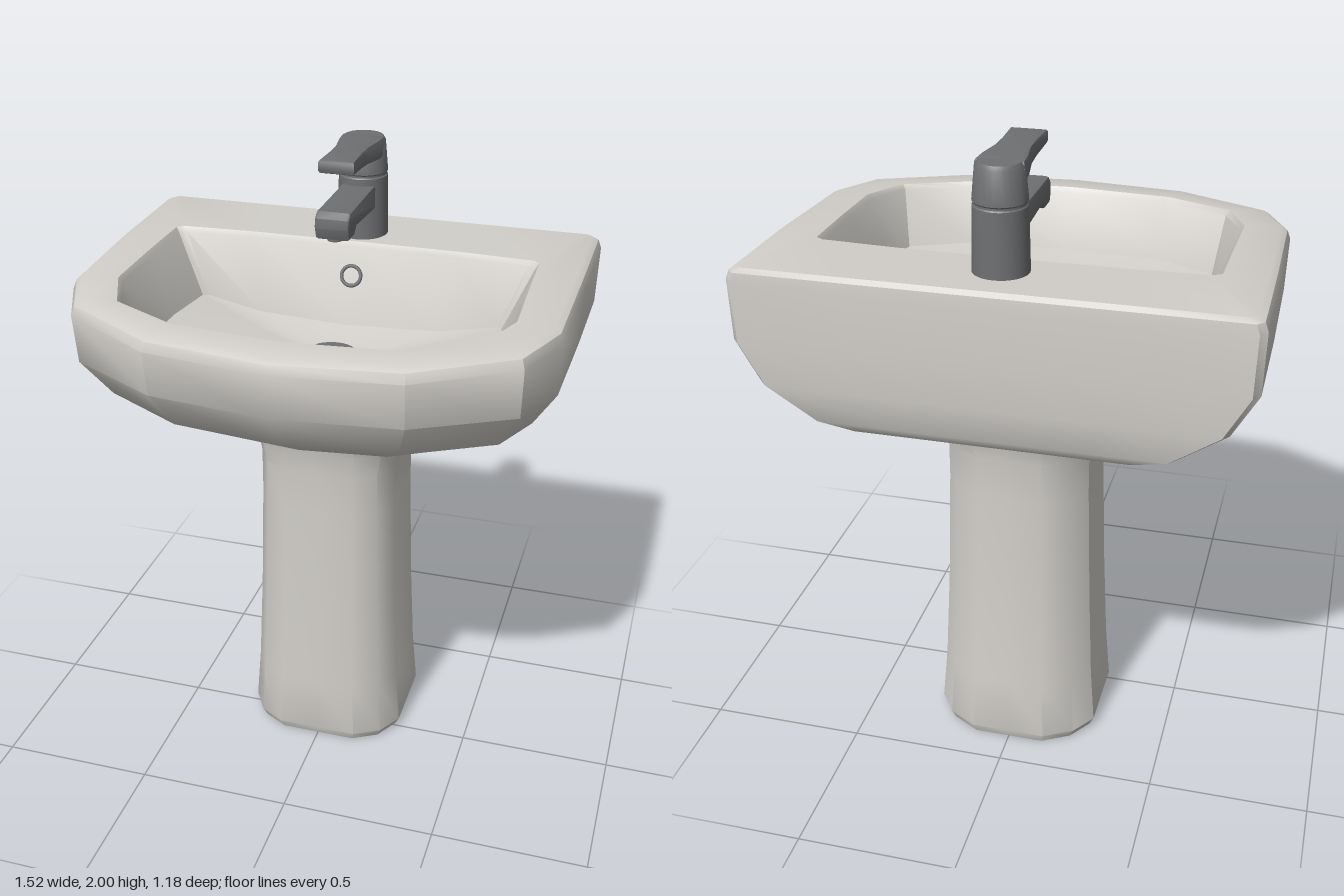
import * as THREE from 'three';
import { toCreasedNormals } from 'three/addons/utils/BufferGeometryUtils.js';

const ceramic = new THREE.MeshStandardMaterial({ color: 0xd1cec9 });
ceramic.name = 'ceramic';
const metal = new THREE.MeshStandardMaterial({ color: 0x6f7072 });
metal.name = 'metal';

// Completes a half ring (back centre to front centre) by mirroring it in x
function fullRing(half) {
  const mirrored = half.slice(1, -1).reverse().map(([x, y, z]) => [-x, y, z]);
  return [...half, ...mirrored];
}

// Skins closed rings, bottom or outside first, and caps both ends
function loft(halfRings, crease) {
  const rings = halfRings.map(fullRing);
  const n = rings[0].length;
  const pos = [];
  const tri = (...points) => points.forEach((p) => pos.push(...p));
  const middle = (ring) => [0, 1, 2].map((i) => ring.reduce((s, p) => s + p[i], 0) / n);
  const first = rings[0], last = rings[rings.length - 1];
  const start = middle(first), end = middle(last);
  for (let j = 0; j < n; j++) {
    const k = (j + 1) % n;
    tri(start, first[j], first[k]);
    for (let r = 0; r < rings.length - 1; r++) {
      const a = rings[r], b = rings[r + 1];
      tri(a[j], b[j], b[k]);
      tri(a[j], b[k], a[k]);
    }
    tri(end, last[k], last[j]);
  }
  const g = new THREE.BufferGeometry();
  g.setAttribute('position', new THREE.Float32BufferAttribute(pos, 3));
  g.computeVertexNormals();
  return toCreasedNormals(g, crease);
}

function add(parent, name, geometry, material, x = 0, y = 0, z = 0) {
  const mesh = new THREE.Mesh(geometry, material);
  mesh.name = name;
  mesh.position.set(x, y, z);
  parent.add(mesh);
  return mesh;
}

// The rim dips gently towards the front
const dip = (z) => (z < -0.28 ? 0.012 * (z + 0.59) : 0.004 + 0.042 * Math.pow((z + 0.28) / 0.87, 1.6));

function basinGeometry() {
  const plan = [[0, -0.59], [0.4, -0.59], [0.73, -0.59], [0.75, -0.568], [0.748, -0.2], [0.74, 0.2],
    [0.663, 0.38], [0.375, 0.54], [0, 0.585]];
  // half width, front z, back z, height, share of the rim dip
  const levels = [
    [0.30, 0.12, -0.52, 1.18, 0],
    [0.42, 0.22, -0.555, 1.197, 0],
    [0.53, 0.30, -0.572, 1.225, 0],
    [0.68, 0.48, -0.588, 1.33, 0],
    [0.755, 0.575, -0.59, 1.46, 0],
    [0.76, 0.594, -0.59, 1.645, 1],
    [0.75, 0.583, -0.587, 1.673, 1],
    [0.73, 0.558, -0.572, 1.685, 1],
  ];
  const rings = levels.map(([w, front, back, y, share]) => plan.map(([px, pz]) => {
    const z = back + ((pz + 0.59) / 1.175) * (front - back);
    return [px * w / 0.75, y - share * dip(z), z];
  }));

  // Inner lip, rounded over into the bowl
  const lip = [[0, -0.305], [0.35, -0.302], [0.58, -0.29], [0.603, -0.275], [0.607, -0.05], [0.612, 0.175],
    [0.545, 0.335], [0.335, 0.435], [0, 0.465]];
  rings.push(lip.map(([x, z]) => [x, 1.683 - dip(z), z]));
  rings.push(lip.map(([x, z]) => [x * 0.983, 1.667 - dip(z), z * 0.975]));

  // Foot of the steep bowl wall
  const foot = [[0, 1.42, -0.225], [0.3, 1.43, -0.235], [0.485, 1.46, -0.25], [0.505, 1.465, -0.235],
    [0.53, 1.465, -0.05], [0.54, 1.46, 0.16], [0.51, 1.46, 0.27], [0.32, 1.455, 0.37], [0, 1.45, 0.40]];
  rings.push(foot);

  // Floor dished down to the drain
  for (const t of [0.75, 0.45, 0.15]) {
    rings.push(foot.map(([x, y, z]) => [x * t, 1.375 + (y - 1.375) * Math.pow(t, 1.4), -0.04 + (z + 0.04) * t]));
  }
  return loft(rings, 0.6);
}

function pedestalGeometry() {
  const section = [[0, -1], [0.45, -1], [0.8, -0.8], [1, -0.5], [1, 0.5],
    [0.82, 0.82], [0.5, 1], [0, 1]];
  // half width, front z, back z, height
  const levels = [
    [0.25, 0.115, -0.385, 0],
    [0.265, 0.127, -0.396, 0.03],
    [0.25, 0.122, -0.38, 0.22],
    [0.237, 0.112, -0.36, 0.52],
    [0.226, 0.106, -0.347, 0.9],
    [0.226, 0.106, -0.347, 1.04],
    [0.24, 0.113, -0.362, 1.12],
    [0.275, 0.135, -0.395, 1.2],
  ];
  return loft(levels.map(([w, front, back, y]) => section.map(([x, s]) =>
    [x * w, y, (front + back) / 2 + s * (front - back) / 2])), 0.55);
}

// Turned column: a rounded lower body, a fine groove and a tapering head
function tapBodyGeometry() {
  const profile = [[0, 1.66], [0.083, 1.66], [0.083, 1.69], [0.079, 1.875], [0.076, 1.879],
    [0.076, 1.885], [0.079, 1.889], [0.07, 1.985], [0.062, 1.998], [0, 2.0]];
  const g = new THREE.LatheGeometry(profile.map(([r, y]) => new THREE.Vector2(r, y)), 28);
  return toCreasedNormals(g, 0.6);
}

// Side profile (z, y) extruded across the width
function spoutGeometry() {
  const shape = new THREE.Shape([[-0.40, 1.782], [-0.13, 1.8], [-0.108, 1.778], [-0.06, 1.778],
    [-0.05, 1.805], [-0.053, 1.828], [-0.068, 1.841], [-0.40, 1.845]].map(([z, y]) => new THREE.Vector2(z, y)));
  const g = new THREE.ExtrudeGeometry(shape, {
    depth: 0.09, bevelThickness: 0.01, bevelSize: 0.01, bevelSegments: 2,
  });
  g.translate(0, 0, -0.045);
  g.rotateY(-Math.PI / 2);
  return toCreasedNormals(g, 0.6);
}

// Waisted plan extruded upwards, thicker where it meets the body
function leverGeometry() {
  const side = [[0.06, -0.4], [0.057, -0.35], [0.044, -0.27], [0.042, -0.2], [0.046, -0.1]];
  const outline = [...side, ...side.slice().reverse().map(([x, z]) => [-x, z])];
  const shape = new THREE.Shape(outline.map(([x, z]) => new THREE.Vector2(x, -z)));
  const g = new THREE.ExtrudeGeometry(shape, {
    depth: 0.02, bevelThickness: 0.009, bevelSize: 0.01, bevelSegments: 2,
  });
  g.rotateX(-Math.PI / 2);
  g.translate(0, 1.971, 0);
  const p = g.attributes.position;
  for (let i = 0; i < p.count; i++) {
    if (p.getY(i) < 1.98) p.setY(i, p.getY(i) - 0.004 + (p.getZ(i) + 0.09) * 0.08);
  }
  g.computeVertexNormals();
  return toCreasedNormals(g, 0.6);
}

export function createModel() {
  const model = new THREE.Group();
  model.name = 'pedestalSink';

  add(model, 'basin', basinGeometry(), ceramic);
  add(model, 'pedestal', pedestalGeometry(), ceramic);

  const tap = new THREE.Group();
  tap.name = 'tap';
  model.add(tap);
  add(tap, 'tapBody', tapBodyGeometry(), metal, 0, 0, -0.405);
  add(tap, 'spout', spoutGeometry(), metal);
  add(tap, 'lever', leverGeometry(), metal);
  add(tap, 'aerator', new THREE.CylinderGeometry(0.024, 0.024, 0.02, 20), metal, 0, 1.768, -0.083);

  // Drain plug and overflow ring
  add(model, 'drain', new THREE.CylinderGeometry(0.081, 0.086, 0.03, 28), metal, 0, 1.386, -0.042);
  const overflow = add(model, 'overflowRing', new THREE.TorusGeometry(0.032, 0.006, 8, 24), metal, 0, 1.575, -0.268);
  overflow.rotation.x = -0.31;

  return model;
}
